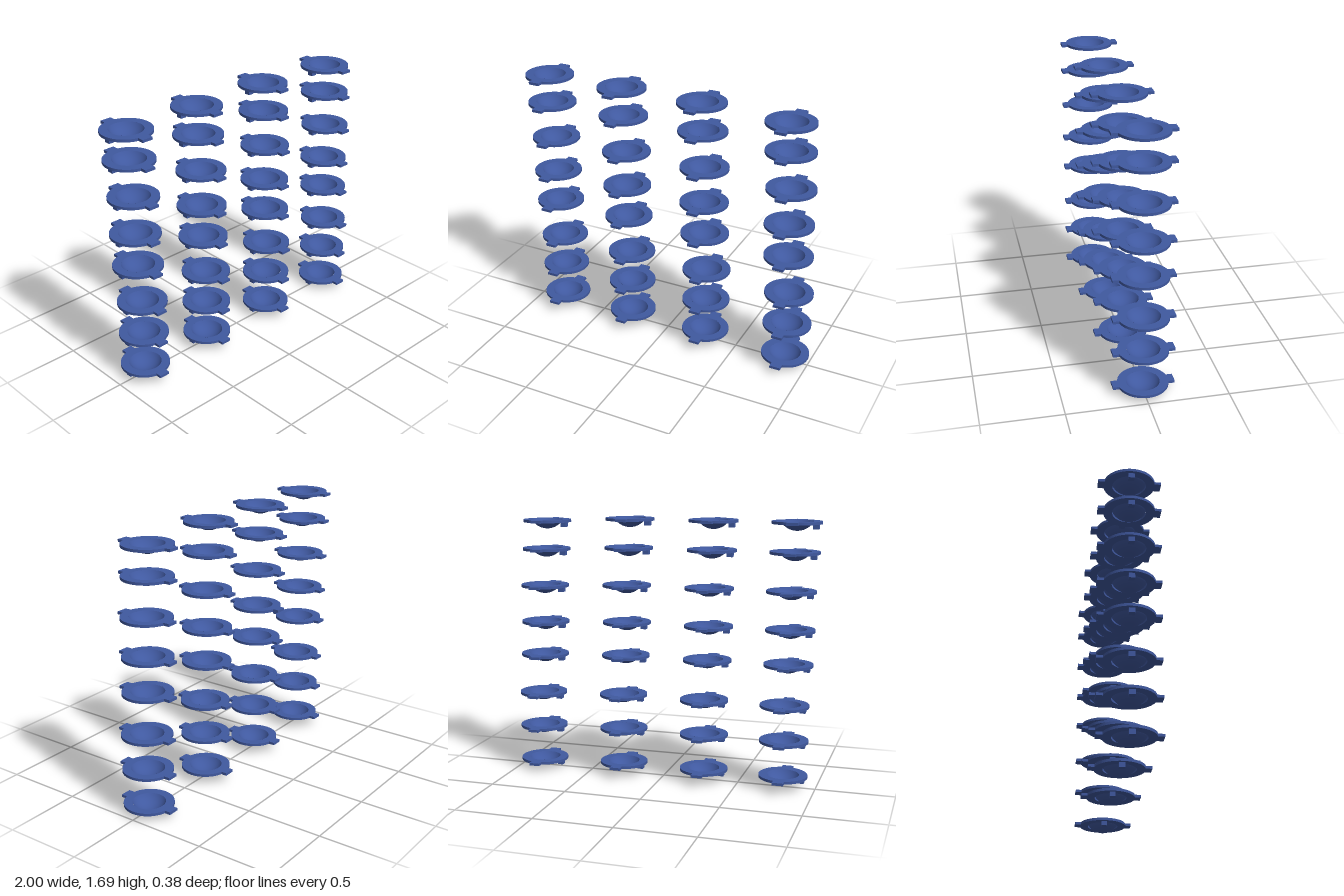
import * as THREE from 'three';

const PLATE_R = 0.155, BOWL_R = 0.102, BOWL_DEPTH = 0.06, THICK = 0.017;
const TAB_HALF = 0.035, TAB_REACH = 0.19;

// Round plate with a tab on both z sides and a hole for the bowl; top face at y = 0
function plateGeometry() {
  const a = Math.asin(TAB_HALF / PLATE_R), q = Math.PI / 2;
  const shape = new THREE.Shape();
  shape.absarc(0, 0, PLATE_R, -q + a, q - a, false);
  shape.lineTo(TAB_HALF, TAB_REACH);
  shape.lineTo(-TAB_HALF, TAB_REACH);
  shape.absarc(0, 0, PLATE_R, q + a, 3 * q - a, false);
  shape.lineTo(-TAB_HALF, -TAB_REACH);
  shape.lineTo(TAB_HALF, -TAB_REACH);
  shape.closePath();
  const hole = new THREE.Path();
  hole.absarc(0, 0, BOWL_R, 0, Math.PI * 2, true);
  shape.holes.push(hole);
  const geo = new THREE.ExtrudeGeometry(shape, { depth: THICK, bevelEnabled: false, curveSegments: 28 });
  geo.rotateX(-q);
  geo.translate(0, -THICK, 0);
  return geo;
}

// Thin spherical cap hanging below the plate
function bowlGeometry() {
  const R = (BOWL_R ** 2 + BOWL_DEPTH ** 2) / (2 * BOWL_DEPTH);
  const maxAngle = Math.asin(BOWL_R / R), steps = 12, points = [];
  for (let i = 0; i <= steps; i++) {
    const t = maxAngle * i / steps;
    points.push(new THREE.Vector2(R * Math.sin(t), R - BOWL_DEPTH - R * Math.cos(t)));
  }
  return new THREE.LatheGeometry(points, 48);
}

export function createModel() {
  const model = new THREE.Group();
  model.name = 'dishArray';
  const material = new THREE.MeshStandardMaterial({ color: 0x4059a0 });
  const bowlMaterial = new THREE.MeshStandardMaterial({ color: 0x4059a0, side: THREE.DoubleSide });

  const plate = plateGeometry();
  const bowl = bowlGeometry();
  const pegHeight = 0.047 - THICK;
  const peg = new THREE.BoxGeometry(0.037, pegHeight, 0.037);
  peg.translate(-0.117, -THICK - pegHeight / 2, 0);

  // Column: x of the top row and height offset; row: x shift and top height
  const columns = [[-0.845, 0], [-0.323, 0], [0.224, 0], [0.793, -0.021]];
  const rows = [
    [0, 1.687], [0.009, 1.503], [0.025, 1.262], [0.026, 1.021],
    [0.034, 0.802], [0.052, 0.539], [0.052, 0.311], [0.052, 0.081],
  ];

  columns.forEach(([x, dy], c) => rows.forEach(([dx, y], r) => {
    const dish = new THREE.Group();
    dish.name = `dish_${c + 1}_${r + 1}`;
    for (const [name, geo, mat] of [
      ['plate', plate, material], ['bowl', bowl, bowlMaterial], ['peg', peg, material],
    ]) {
      const mesh = new THREE.Mesh(geo, mat);
      mesh.name = name;
      dish.add(mesh);
    }
    dish.position.set(x + dx, y + dy, 0);
    model.add(dish);
  }));
  return model;
}
